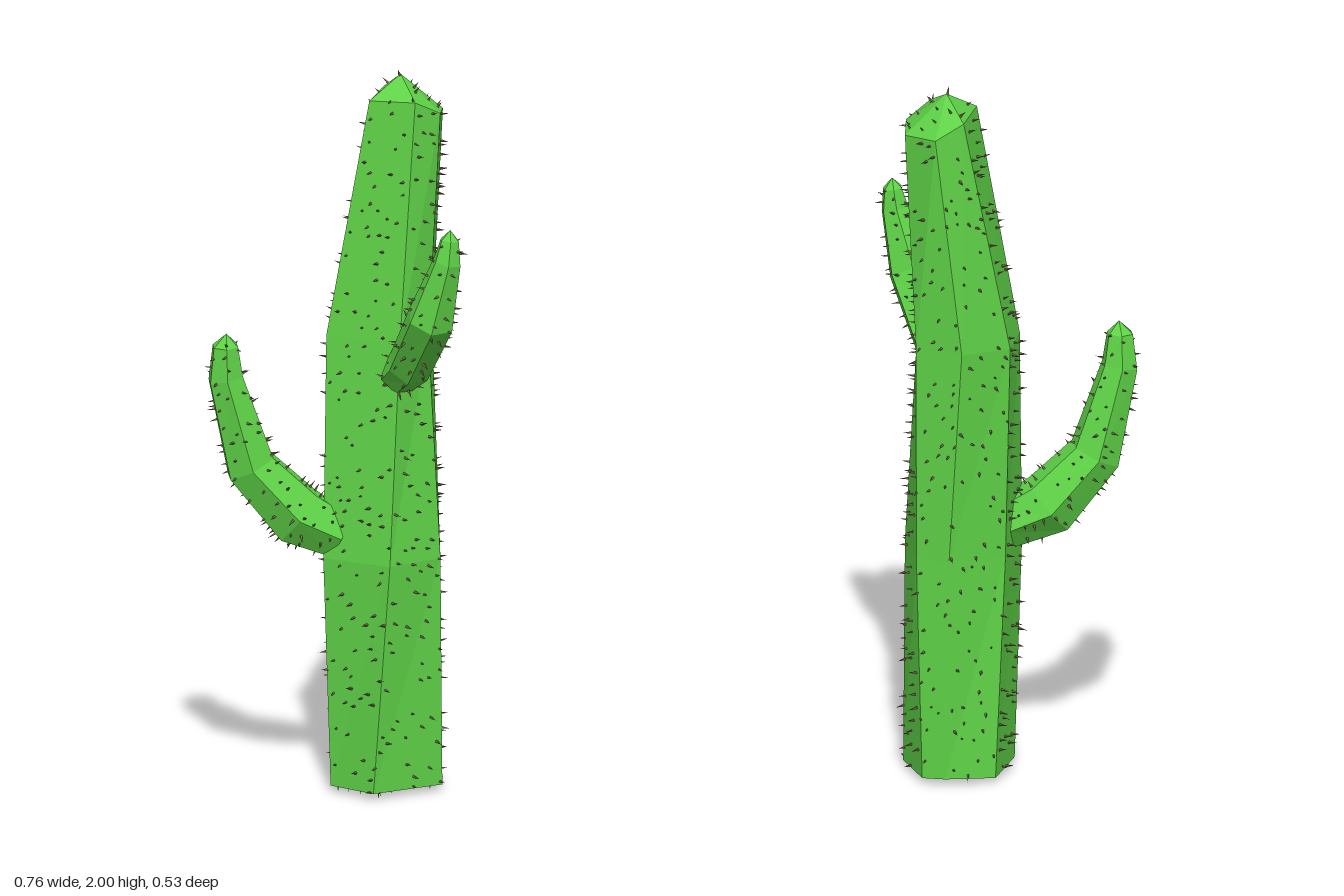
import * as THREE from 'three';
import { mergeGeometries } from 'three/addons/utils/BufferGeometryUtils.js';

const V = (x, y, z) => new THREE.Vector3(x, y, z);
const green = new THREE.MeshStandardMaterial({ color: 0x5fd347, flatShading: true });
const brown = new THREE.MeshStandardMaterial({ color: 0x7a6652, flatShading: true });

// Small seeded random generator
let seed = 7;
function rand() {
  seed = (seed * 16807) % 2147483647;
  return seed / 2147483647;
}

// Faceted skin over rings of points, closed by a base centre and a pointed tip
function skin(rings, base, tip) {
  const tris = [];
  const n = rings[0].length;
  const last = rings[rings.length - 1];
  for (let j = 0; j < n; j++) {
    const k = (j + 1) % n;
    tris.push(rings[0][j], rings[0][k], base);
    for (let i = 0; i + 1 < rings.length; i++) {
      const a = rings[i][j], b = rings[i][k], c = rings[i + 1][k], d = rings[i + 1][j];
      tris.push(b, a, d, b, d, c);
    }
    tris.push(last[k], last[j], tip);
  }
  const geo = new THREE.BufferGeometry().setFromPoints(tris);
  geo.computeVertexNormals();
  return geo;
}

// Six-sided arm along a bent path of [x, y, z, radius]
function armGeometry(path, base, tip) {
  const pts = path.map(p => V(p[0], p[1], p[2]));
  const out = pts[pts.length - 1].clone().sub(pts[0]).setY(0).normalize();
  const side = V(out.z, 0, -out.x);
  const rings = path.map((p, i) => {
    const next = pts[Math.min(i + 1, pts.length - 1)], prev = pts[Math.max(i - 1, 0)];
    const t = next.clone().sub(prev).normalize();
    const u = side.clone().addScaledVector(t, -side.dot(t)).normalize();
    const v = t.clone().cross(u);
    return Array.from({ length: 6 }, (_, k) => {
      const a = (k / 6) * Math.PI * 2;
      return pts[i].clone()
        .addScaledVector(u, p[3] * Math.cos(a))
        .addScaledVector(v, -p[3] * Math.sin(a));
    });
  });
  return skin(rings, base, tip);
}

// Thin cones scattered evenly over a skin, standing on its faces
function spikes(geo, density) {
  const pos = geo.attributes.position;
  const cone = new THREE.ConeGeometry(0.0048, 0.026, 4, 1, true).translate(0, 0.008, 0);
  const placed = [], parts = [];
  const tri = new THREE.Triangle();
  for (let f = 0; f < pos.count; f += 3) {
    tri.setFromAttributeAndIndices(pos, f, f + 1, f + 2);
    const normal = tri.getNormal(V(0, 0, 0));
    const wanted = Math.floor(tri.getArea() * density + rand());
    for (let s = 0, tries = 0; s < wanted && tries < wanted * 8; tries++) {
      let r1 = rand(), r2 = rand();
      if (r1 + r2 > 1) { r1 = 1 - r1; r2 = 1 - r2; }
      const p = tri.a.clone().multiplyScalar(1 - r1 - r2)
        .addScaledVector(tri.b, r1).addScaledVector(tri.c, r2);
      if (placed.some(q => q.distanceToSquared(p) < 0.0006)) continue;
      placed.push(p);
      s++;
      const dir = normal.clone()
        .add(V(rand() - 0.5, rand() - 0.5, rand() - 0.5).multiplyScalar(0.4)).normalize();
      const q = new THREE.Quaternion().setFromUnitVectors(V(0, 1, 0), dir);
      const size = normal.y < -0.9 ? 0.9 : 0.8 + rand() * 0.4;
      parts.push(cone.clone().applyMatrix4(
        new THREE.Matrix4().compose(p, q, V(size, size, size))));
    }
  }
  return mergeGeometries(parts);
}

export function createModel() {
  seed = 7;
  const model = new THREE.Group();
  model.name = 'cactus';

  const add = (name, geo, density) => {
    const group = new THREE.Group();
    group.name = name;
    const body = new THREE.Mesh(geo, green);
    body.name = name + 'Body';
    const thorns = new THREE.Mesh(spikes(geo, density), brown);
    thorns.name = name + 'Spikes';
    group.add(body, thorns);
    model.add(group);
  };

  // Trunk: slightly twisted and leaning back, with a blunt pointed crown
  const level = (y, pts) => pts.map(([x, z, dy = 0]) => V(x, y + dy, z));
  const trunk = [
    level(0.025, [[0.09, 0.1], [-0.06, 0.075], [-0.095, -0.1], [0.02, -0.175], [0.08, -0.195], [0.195, -0.09]]),
    level(0.66, [[0.13, 0.08], [-0.08, 0.08], [-0.115, -0.08], [0, -0.19], [0.09, -0.21], [0.195, -0.08]]),
    level(1.27, [[0.12, 0.01], [-0.1, 0.03], [-0.14, -0.1], [-0.05, -0.21], [0.08, -0.23], [0.145, -0.1]]),
    level(1.92, [[0.13, -0.055, 0.01], [0, -0.03, 0.005], [-0.045, -0.19, 0.01],
      [0.01, -0.25, -0.03], [0.12, -0.22, -0.04], [0.165, -0.13, -0.03]]),
  ];
  add('trunk', skin(trunk, V(0.05, 0.025, -0.05), V(0.04, 1.985, -0.13)), 310);

  // Lower arm on the right side
  add('lowerArm', armGeometry([
    [-0.06, 0.715, 0.02, 0.07],
    [-0.16, 0.77, 0.08, 0.09],
    [-0.265, 0.91, 0.155, 0.075],
    [-0.317, 1.16, 0.2, 0.052],
    [-0.315, 1.25, 0.205, 0.038],
  ], V(-0.05, 0.71, 0.015), V(-0.312, 1.285, 0.205)), 420);

  // Upper arm on the left side
  add('upperArm', armGeometry([
    [0.1, 1.17, -0.015, 0.055],
    [0.15, 1.21, 0.01, 0.063],
    [0.262, 1.37, 0.085, 0.068],
    [0.317, 1.54, 0.09, 0.04],
    [0.322, 1.6, 0.085, 0.027],
  ], V(0.095, 1.165, -0.02), V(0.322, 1.628, 0.083)), 420);

  return model;
}
